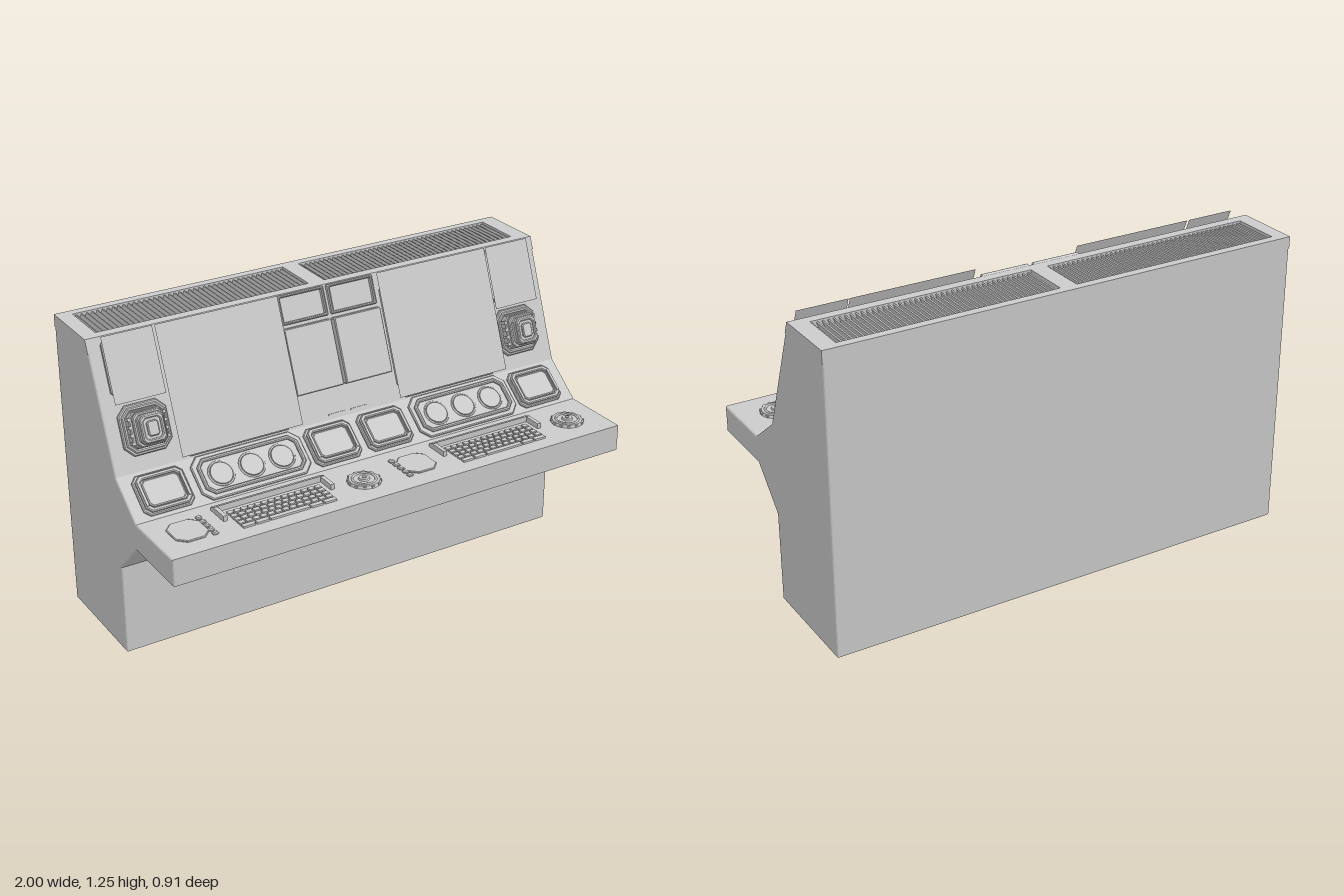
import * as THREE from 'three';

const grey = new THREE.MeshStandardMaterial({ color: 0xcccccc });
const thin = new THREE.MeshStandardMaterial({ color: 0xcccccc, side: THREE.DoubleSide });

function add(parent, name, geo, x = 0, y = 0, z = 0, mat = grey) {
  const m = new THREE.Mesh(geo, mat);
  m.name = name;
  m.position.set(x, y, z);
  parent.add(m);
  return m;
}

function sub(parent, name, x = 0, y = 0, z = 0) {
  const g = new THREE.Group();
  g.name = name;
  g.position.set(x, y, z);
  parent.add(g);
  return g;
}

const box = (w, h, d) => new THREE.BoxGeometry(w, h, d);
const disc = (r0, r1, h, n = 24) => new THREE.CylinderGeometry(r1, r0, h, n).rotateX(Math.PI / 2);

// Rectangle outline with cut corners
function cutPoints(w, h, c) {
  const a = w / 2, b = h / 2;
  return [[-a + c, -b], [a - c, -b], [a, -b + c], [a, b - c], [a - c, b], [-a + c, b], [-a, b - c], [-a, -b + c]]
    .map(p => new THREE.Vector2(...p));
}

// Cut-corner plate standing on z = 0, optionally open in the middle by a rim width
function plate(w, h, d, c, rim = 0) {
  const bevel = Math.min(0.004, d / 2);
  const s = new THREE.Shape(cutPoints(w, h, c));
  if (rim) s.holes.push(new THREE.Path(cutPoints(w - 2 * rim, h - 2 * rim, c * 0.7).reverse()));
  return new THREE.ExtrudeGeometry(s, {
    depth: d - bevel, bevelThickness: bevel, bevelSize: bevel, bevelOffset: -bevel, bevelSegments: 1,
  });
}

// Working surface: local x across, y up the slope, z outward
function surface(parent, name, y, z, angle) {
  const g = sub(parent, name, 0, y, z);
  g.rotation.x = -angle;
  return g;
}

function buildBody(root) {
  // Side profile in (z, y), drawn across the full width
  const outline = [[0.01, 0], [0.01, 0.375], [0.16, 0.525], [0.455, 0.525], [0.455, 0.635], [0.165, 0.635],
    [0.01, 0.755], [-0.166, 1.2], [-0.455, 1.2], [-0.455, 0]].map(p => new THREE.Vector2(...p));
  const b = 0.008;
  const body = new THREE.ExtrudeGeometry(new THREE.Shape(outline.reverse()), {
    depth: 2 - 2 * b, bevelThickness: b, bevelSize: b, bevelOffset: -b, bevelSegments: 3,
  });
  body.translate(0, 0, -1 + b).rotateY(-Math.PI / 2);
  add(root, 'cabinet', body);

  // Top cap with two vent openings, its front edge leaning with the slope
  const rect = (x0, x1, y0, y1) => [[x0, y0], [x1, y0], [x1, y1], [x0, y1]].map(p => new THREE.Vector2(...p));
  const cap = new THREE.Shape(rect(-1, 1, 0.16, 0.455));
  const vents = [[-0.94, -0.04], [0.03, 0.93]];
  for (const [x0, x1] of vents) cap.holes.push(new THREE.Path(rect(x0, x1, 0.22, 0.42).reverse()));
  const capGeo = new THREE.ExtrudeGeometry(cap, { depth: 0.05, bevelEnabled: false }).rotateX(-Math.PI / 2);
  const p = capGeo.attributes.position;
  for (let i = 0; i < p.count; i++) if (p.getZ(i) > -0.2) p.setZ(i, p.getZ(i) - p.getY(i) * 0.396);
  capGeo.computeVertexNormals();
  add(root, 'topCap', capGeo, 0, 1.185, 0);
  for (const [x0, x1] of vents) {
    const vent = sub(root, 'topVent', 0, 1.215, -0.32);
    const n = 42;
    for (let i = 0; i < n; i++) {
      const slat = add(vent, 'ventSlat', box(0.006, 0.028, 0.2), x0 + (i + 0.5) * (x1 - x0) / n);
      slat.rotation.z = -0.35;
    }
  }
}

function buildUpper(root) {
  const a = Math.atan2(0.19, 0.48);
  const face = surface(root, 'upperFace', 0.755, 0.01, a);
  // Slope position for a world height at a given stand-off
  const V = (y, n = 0) => (y - 0.755 - n * Math.sin(a)) / Math.cos(a);
  const sheet = (name, x0, x1, y0, y1, n) => {
    const lo = V(y0, n), hi = V(y1, n);
    add(face, name, new THREE.PlaneGeometry(x1 - x0, hi - lo), (x0 + x1) / 2, (lo + hi) / 2, n, thin);
  };

  // Large and small floating display sheets with bezels behind
  for (const [x0, x1] of [[-0.74, -0.225], [0.22, 0.735]]) {
    sheet('largeScreen', x0, x1, 0.785, 1.25, 0.042);
    add(face, 'largeScreenBezel', plate(x1 - x0 - 0.04, 0.44, 0.018, 0.03, 0.03), (x0 + x1) / 2, 0.255, 0);
    add(face, 'lowerBezelStrip', plate(0.44, 0.03, 0.012, 0.012), (x0 + x1) / 2, 0.022, 0);
  }
  for (const [x0, x1] of [[-0.955, -0.75], [0.74, 0.945]]) {
    sheet('sideScreen', x0, x1, 1.015, 1.25, 0.042);
    add(face, 'sideScreenBezel', plate(0.19, 0.22, 0.014, 0.02, 0.02), (x0 + x1) / 2, 0.395, 0);
  }

  // Central displays: open frames above, solid tiles below
  for (const s of [-1, 1]) {
    add(face, 'upperCentreFrame', plate(0.205, 0.115, 0.018, 0.004, 0.01), s * 0.111, 0.455, 0);
    add(face, 'centreTile', plate(0.212, 0.262, 0.024, 0.005), s * 0.112, 0.253, 0);
    add(face, 'centreTileRim', plate(0.212, 0.262, 0.028, 0.005, 0.007), s * 0.112, 0.253, 0);
    add(face, 'statusStrip', box(0.075, 0.006, 0.006), s * 0.05, 0.018, 0.002);
  }

  // Wall units: stepped blocks on cut-corner plates
  for (const x of [-0.846, 0.842]) {
    const unit = sub(face, 'wallUnit', x, 0.155, 0);
    add(unit, 'unitBase', plate(0.195, 0.19, 0.012, 0.035), 0, 0, 0);
    add(unit, 'unitBaseRim', plate(0.175, 0.17, 0.02, 0.03, 0.014), 0, 0, 0);
    add(unit, 'unitBody', plate(0.145, 0.135, 0.045, 0.02), 0, 0, 0);
    add(unit, 'unitCollar', plate(0.125, 0.13, 0.058, 0.018), 0, 0, 0);
    add(unit, 'unitHead', plate(0.105, 0.112, 0.078, 0.015), 0, 0, 0);
    add(unit, 'unitHeadRim', plate(0.095, 0.105, 0.086, 0.014, 0.014), 0, 0, 0);
    add(unit, 'unitButton', plate(0.045, 0.058, 0.088, 0.008), 0, 0, 0);
    for (const s of [-1, 1]) for (let i = 0; i < 4; i++)
      add(unit, 'unitRib', box(0.01, 0.012, 0.04), s * 0.072, -0.045 + i * 0.03, 0.025);
  }
}

function buildLower(root) {
  const face = surface(root, 'lowerFace', 0.635, 0.165, Math.atan2(0.155, 0.12));
  // Small rounded screens
  for (const x of [-0.848, -0.122, 0.117, 0.845]) {
    const screen = sub(face, 'smallScreen', x, 0.098, 0);
    add(screen, 'screenBase', plate(0.208, 0.165, 0.01, 0.022), 0, 0, 0);
    add(screen, 'screenRim', plate(0.19, 0.148, 0.022, 0.02, 0.016), 0, 0, 0);
    add(screen, 'screenGlass', plate(0.15, 0.108, 0.018, 0.014), 0, 0, 0);
    for (const s of [-1, 1]) add(screen, 'screenGrip', box(0.01, 0.1, 0.012), s * 0.086, 0, 0.02);
  }
  // Wide panels with three dials each
  for (const x of [-0.478, 0.49]) {
    const panel = sub(face, 'dialPanel', x, 0.1, 0);
    add(panel, 'dialBase', plate(0.468, 0.185, 0.01, 0.035), 0, 0, 0);
    add(panel, 'dialRim', plate(0.43, 0.15, 0.02, 0.03, 0.014), 0, 0, 0);
    for (let i = -1; i <= 1; i++) {
      add(panel, 'dialRing', new THREE.TorusGeometry(0.05, 0.004, 6, 28), i * 0.13, 0, 0.011);
      add(panel, 'dialFace', disc(0.046, 0.044, 0.006), i * 0.13, 0, 0.012);
    }
  }
}

function buildDesk(root) {
  // Local y runs toward the back, so y = -z
  const desk = surface(root, 'deskTop', 0.635, 0, Math.PI / 2);
  for (const [pad, buttons, keys, ball] of [[-0.86, -0.783, -0.483, -0.12], [0.125, 0.052, 0.482, 0.845]]) {
    add(desk, 'touchPad', plate(0.125, 0.135, 0.004, 0.03), pad, -0.302, 0);
    add(desk, 'touchPadRim', plate(0.135, 0.145, 0.006, 0.033, 0.008), pad, -0.302, 0);
    for (let i = 0; i < 5; i++)
      add(desk, 'sideButton', plate(0.022, 0.022, 0.008, 0.004), buttons, -0.24 - i * 0.032, 0);

    // Keyboard: staggered rows and a space bar inside a wedge bracket
    const board = sub(desk, 'keyboard', keys, 0, 0);
    for (let r = 0; r < 5; r++) {
      const n = r === 4 ? 7 : 14 - (r % 2);
      const pitch = 0.4 / n;
      for (let i = 0; i < n; i++) {
        const w = r === 4 && i === 3 ? pitch + 0.02 : pitch - 0.007;
        add(board, 'key', box(w, 0.02, 0.008), -0.2 + (i + 0.5) * pitch, -0.27 - r * 0.028, 0.004);
      }
    }
    const wedge = new THREE.Shape([[-0.21, 0], [-0.235, 0], [-0.235, 0.024], [-0.21, 0.014]]
      .map(q => new THREE.Vector2(...q)).reverse());
    const bar = new THREE.ExtrudeGeometry(wedge, { depth: 0.47, bevelEnabled: false });
    // Profile (back, up) swept across x
    bar.applyMatrix4(new THREE.Matrix4().set(0, 0, 1, -0.235, 1, 0, 0, 0, 0, 1, 0, 0, 0, 0, 0, 1));
    add(board, 'keyboardBracket', bar, 0, 0, 0, thin);
    for (const s of [-1, 1]) add(board, 'bracketArm', box(0.016, 0.08, 0.022), s * 0.227, -0.27, 0.011);

    // Trackball with ring and notches
    const track = sub(desk, 'trackball', ball, -0.315, 0);
    add(track, 'trackRing', disc(0.066, 0.06, 0.01, 32), 0, 0, 0.005);
    add(track, 'trackGroove', new THREE.TorusGeometry(0.045, 0.005, 6, 32), 0, 0, 0.01);
    add(track, 'trackHub', disc(0.025, 0.02, 0.012, 20), 0, 0, 0.011);
    add(track, 'trackKnob', disc(0.01, 0.008, 0.014, 12), 0, 0, 0.014);
    for (let i = 0; i < 12; i++) {
      const t = i * Math.PI / 6;
      const notch = add(track, 'ringNotch', box(0.01, 0.012, 0.008), 0.062 * Math.cos(t), 0.062 * Math.sin(t), 0.004);
      notch.rotation.z = t;
    }
  }
}

export function createModel() {
  const root = new THREE.Group();
  root.name = 'controlConsole';
  buildBody(root);
  buildUpper(root);
  buildLower(root);
  buildDesk(root);
  return root;
}
